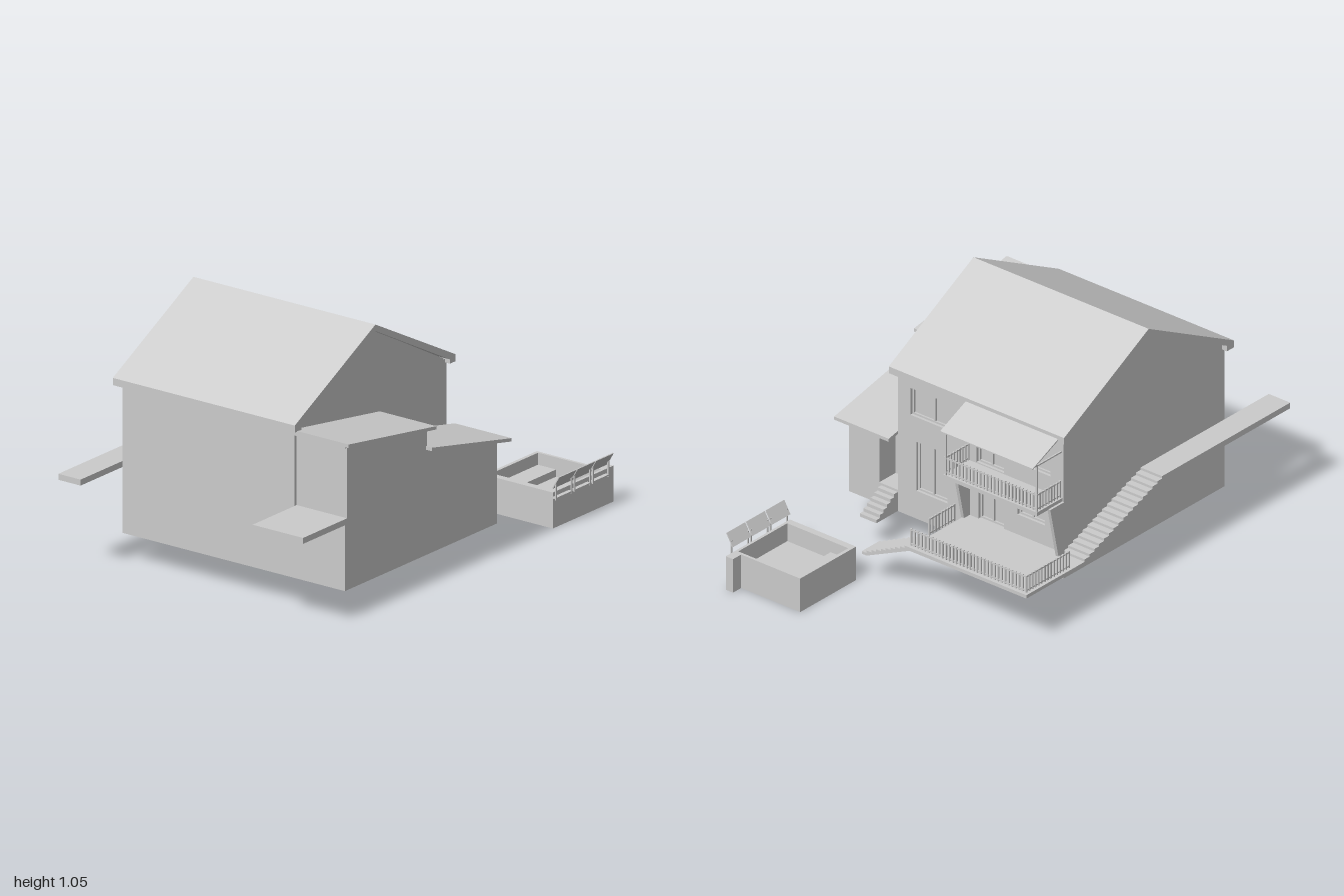
import * as THREE from 'three';

const mat = new THREE.MeshStandardMaterial({ color: 0xcccccc, flatShading: true, side: THREE.DoubleSide });

export function createModel() {
  const model = new THREE.Group();
  const add = (name, geo, parent = model) => {
    const m = new THREE.Mesh(geo, mat);
    m.name = name;
    parent.add(m);
    return m;
  };
  const group = (name) => {
    const g = new THREE.Group();
    g.name = name;
    model.add(g);
    return g;
  };
  // Box given by its limits on each axis
  const box = (name, x0, x1, y0, y1, z0, z1, parent) =>
    add(name, new THREE.BoxGeometry(x1 - x0, y1 - y0, z1 - z0)
      .translate((x0 + x1) / 2, (y0 + y1) / 2, (z0 + z1) / 2), parent);
  const shapeOf = (pts) => new THREE.Shape(pts.map(([a, b]) => new THREE.Vector2(a, b)));
  const extrude = (shape, depth) => new THREE.ExtrudeGeometry(shape, { depth, bevelEnabled: false });
  // Outline in (z, y) pulled along x
  const alongX = (name, pts, x0, x1, parent) =>
    add(name, extrude(shapeOf(pts), x1 - x0).rotateY(-Math.PI / 2).translate(x1, 0, 0), parent);
  // Outline in (x, y) pulled along z
  const alongZ = (name, pts, z0, z1, parent) =>
    add(name, extrude(shapeOf(pts), z1 - z0).translate(0, 0, z0), parent);
  // Step outline falling from (a0, yTop) to (a1, yBottom)
  const stairs = (a0, yTop, a1, yBottom, n, underside) => {
    const pts = [];
    const run = (a1 - a0) / n, rise = (yTop - yBottom) / n;
    for (let i = 0; i < n; i++) {
      pts.push([a0 + run * i, yTop - rise * i], [a0 + run * (i + 1), yTop - rise * i]);
    }
    return pts.concat(underside);
  };
  // Railing between two floor points: rails and flat bars
  const railing = (name, [x0, z0], [x1, z1], y0, y1) => {
    const g = group(name);
    const len = Math.hypot(x1 - x0, z1 - z0), n = Math.round(len / 0.018);
    for (let i = 0; i <= n; i++) {
      const x = x0 + (x1 - x0) * i / n, z = z0 + (z1 - z0) * i / n;
      box('railingBar', x - 0.0035, x + 0.0035, y0, y1, z - 0.0035, z + 0.0035, g);
    }
    for (const y of [y0 + 0.008, y1 - 0.006]) {
      box('rail', Math.min(x0, x1) - 0.002, Math.max(x0, x1) + 0.002, y - 0.003, y + 0.003,
        Math.min(z0, z1) - 0.002, Math.max(z0, z1) + 0.002, g);
    }
  };

  // Main house body with gable ends
  alongX('houseBody', [[0.73, 0.125], [0.73, 0.765], [0.24, 1.022], [-0.23, 0.765], [-0.23, 0.125]], -0.515, 0.335);

  // Rear wall with window and door openings: x0, x1, y0, y1
  const openings = [
    [0.04, 0.27, 0.58, 0.70], [0.08, 0.24, 0.25, 0.47],
    [-0.21, -0.08, 0.24, 0.44], [-0.42, -0.28, 0.33, 0.44],
    [-0.21, -0.07, 0.49, 0.69], [-0.45, -0.28, 0.56, 0.69],
  ];
  const rear = shapeOf([[-0.515, 0.125], [0.335, 0.125], [0.335, 0.76], [-0.515, 0.76]]);
  for (const [a, b, c, d] of openings) {
    rear.holes.push(new THREE.Path([[a, c], [a, d], [b, d], [b, c]].map((p) => new THREE.Vector2(...p))));
  }
  add('rearWall', extrude(rear, 0.02).translate(0, 0, -0.25));
  const frames = group('windowFrames');
  for (const [a, b, c, d] of openings) {
    const m = (a + b) / 2, t = 0.008;
    box('mullion', m - t / 2, m + t / 2, c, d, -0.238, -0.23, frames);
    box('frameLeft', b - t, b, c, d, -0.238, -0.23, frames);
    box('frameRight', a, a + t, c, d, -0.238, -0.23, frames);
    box('frameTop', a, b, d - t, d, -0.238, -0.23, frames);
    box('frameBottom', a, b, c, c + t, -0.238, -0.23, frames);
  }

  // Main roof with boxed eaves
  alongX('mainRoof', [[0.76, 0.745], [0.76, 0.775], [0.24, 1.047], [-0.275, 0.775], [-0.275, 0.745],
    [-0.24, 0.745], [-0.24, 0.763], [0.24, 1.02], [0.715, 0.77], [0.715, 0.745]], -0.54, 0.36);

  // Side wing, with a shallow front porch notch and a rear entrance recess
  const wingFront = [[0.2, 0.57], [0.2, 0.645], [0.73, 0.735], [0.73, 0.72], [0.715, 0.72],
    [0.715, 0.42], [0.73, 0.42], [0.73, 0.125], [-0.25, 0.125]];
  alongX('wingOuter', [...wingFront, [-0.25, 0.47]], 0.43, 0.585);
  alongX('wingInner', [...wingFront, [-0.25, 0.22], [-0.15, 0.22], [-0.15, 0.492]], 0.335, 0.43);
  alongX('wingRoofUpper', [[0.745, 0.733], [0.745, 0.748], [0.18, 0.662], [0.18, 0.648]], 0.335, 0.615);
  alongX('wingRoofLower', [[0.208, 0.565], [0.208, 0.58], [-0.305, 0.472], [-0.305, 0.458]], 0.335, 0.615);
  box('entranceSlab', 0.335, 0.585, 0.4, 0.425, 0.715, 1);
  alongX('wingSteps', stairs(-0.25, 0.21, -0.38, 0.125, 6, [[-0.38, 0.125], [-0.36, 0.125], [-0.25, 0.125]]), 0.335, 0.42);

  // Side walkway, stairs and rear terrace
  box('sideWalkway', -0.625, -0.515, 0.4, 0.425, 0.25, 1);
  alongX('sideStairs', stairs(0.25, 0.425, -0.25, 0.24, 17, [[-0.25, 0.225], [0.25, 0.4]]), -0.625, -0.515);
  box('terrace', -0.625, -0.025, 0.225, 0.24, -0.605, -0.25);
  alongZ('terraceSteps', stairs(-0.025, 0.24, 0.22, 0.125, 10, [[0.22, 0.125], [0.195, 0.125], [-0.025, 0.225]]), -0.605, -0.495);
  railing('terraceRailRear', [-0.62, -0.6], [-0.03, -0.6], 0.25, 0.325);
  railing('terraceRailRight', [-0.62, -0.34], [-0.62, -0.6], 0.25, 0.325);
  railing('terraceRailLeft', [-0.03, -0.34], [-0.03, -0.49], 0.25, 0.325);

  // Balcony on tapered side walls
  for (const x of [-0.52, -0.035]) {
    alongX('balconySupport', [[-0.25, 0.24], [-0.25, 0.47], [-0.335, 0.47], [-0.285, 0.24]], x, x + 0.015);
  }
  box('balconyFloor', -0.51, -0.03, 0.468, 0.485, -0.405, -0.25);
  railing('balconyRailRear', [-0.505, -0.4], [-0.035, -0.4], 0.49, 0.565);
  for (const x of [-0.505, -0.035]) railing('balconyRailSide', [x, -0.26], [x, -0.4], 0.49, 0.565);

  // Canopy over the balcony
  alongX('canopy', [[-0.26, 0.76], [-0.26, 0.766], [-0.43, 0.692], [-0.43, 0.687]], -0.51, -0.035);
  for (const x of [-0.505, -0.04]) {
    box('canopyPost', x - 0.003, x + 0.003, 0.485, 0.695, -0.403, -0.397);
    box('canopyBeam', x - 0.003, x + 0.003, 0.688, 0.694, -0.41, -0.25);
  }
  box('canopyCrossbar', -0.505, -0.04, 0.688, 0.694, -0.403, -0.397);

  // Open basin in the yard
  const basin = shapeOf([[0.245, 0.61], [0.585, 0.61], [0.585, 0.95], [0.245, 0.95]]);
  basin.holes.push(new THREE.Path([[0.26, 0.64], [0.26, 0.938], [0.573, 0.938], [0.573, 0.64]]
    .map((p) => new THREE.Vector2(...p))));
  add('basinWalls', extrude(basin, 0.15).rotateX(-Math.PI / 2));
  box('basinFloor', 0.26, 0.573, 0, 0.07, -0.938, -0.64);
  box('basinLedge', 0.26, 0.35, 0.07, 0.1, -0.938, -0.64);
  box('basinPier', 0.548, 0.585, 0, 0.15, -1, -0.95);

  // Three tilted panels on posts beside the basin
  for (let i = 0; i < 3; i++) {
    const z = -0.955 + i * 0.119, g = group('tiltedPanel');
    alongX('panel', [[z, 0], [z + 0.112, 0], [z + 0.112, 0.062], [z, 0.062]], -0.002, 0.002, g)
      .geometry.rotateZ(-0.53).translate(0.588, 0.17, 0);
    for (const pz of [z + 0.004, z + 0.104]) box('panelPost', 0.597, 0.603, 0.122, 0.195, pz, pz + 0.006, g);
    box('panelBracket', 0.58, 0.603, 0.126, 0.132, z + 0.004, z + 0.11, g);
  }
  return model;
}
